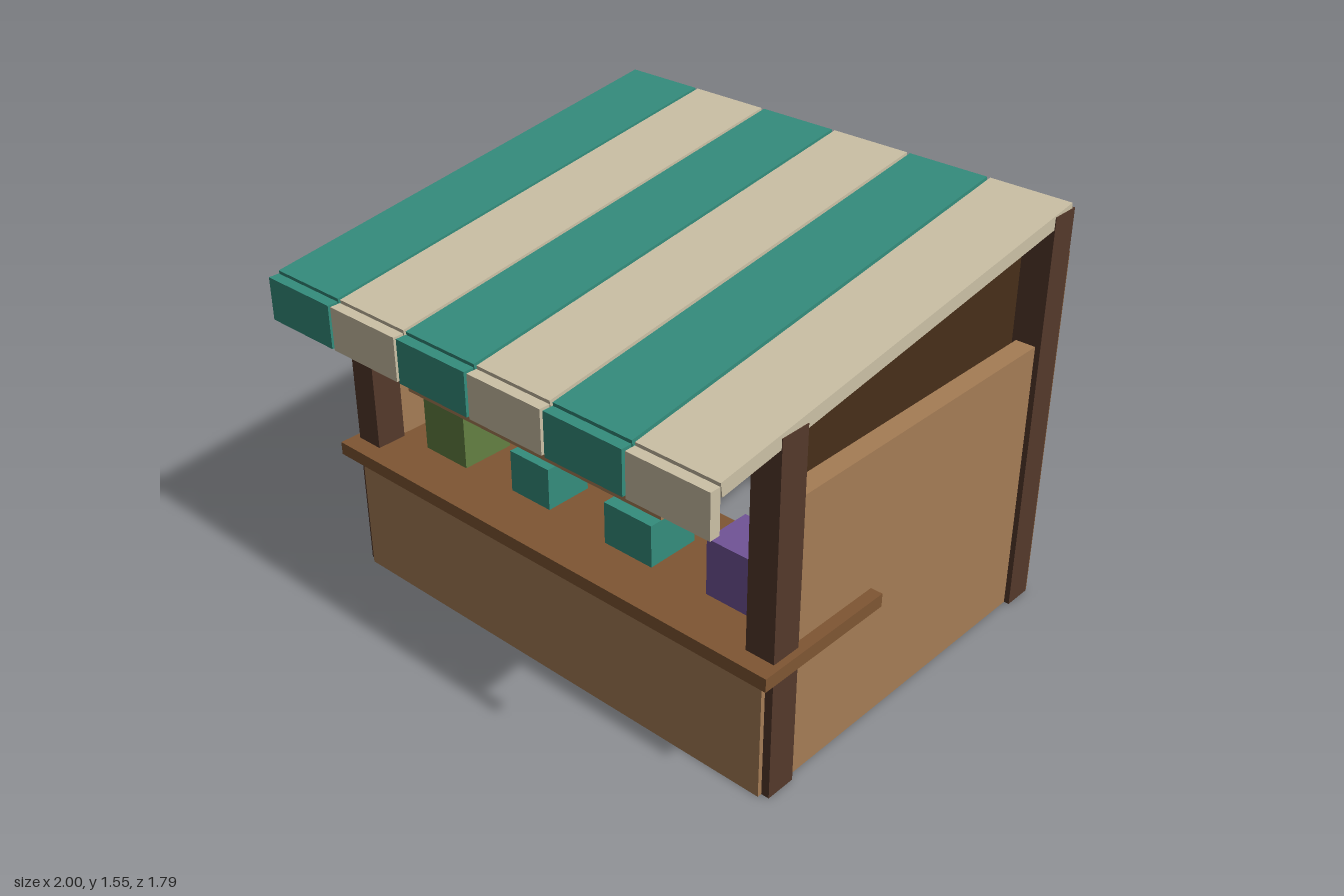
import * as THREE from 'three';

function mat(name, color) {
  const m = new THREE.MeshStandardMaterial({ color });
  m.name = name;
  return m;
}

export function createModel() {
  const stall = new THREE.Group();
  stall.name = 'marketStall';

  const darkWood = mat('darkWood', 0x54392b);
  const midWood = mat('midWood', 0x7f5633);
  const lightWood = mat('lightWood', 0xa57d55);
  const teal = mat('teal', 0x348d7d);
  const cream = mat('cream', 0xccc1a6);
  const green = mat('green', 0x638042);
  const purple = mat('purple', 0x715497);

  // Box given by its limits on each axis
  function box(name, material, [x0, x1], [y0, y1], [z0, z1], parent = stall) {
    const mesh = new THREE.Mesh(new THREE.BoxGeometry(x1 - x0, y1 - y0, z1 - z0), material);
    mesh.position.set((x0 + x1) / 2, (y0 + y1) / 2, (z0 + z1) / 2);
    mesh.name = name;
    parent.add(mesh);
    return mesh;
  }

  // Posts and side walls, mirrored
  for (const [side, s] of [['left', 1], ['right', -1]]) {
    const span = (a, b) => (s > 0 ? [a, b] : [-b, -a]);
    box(side + 'FrontPost', darkWood, span(0.865, 0.975), [0, 1.315], [0.483, 0.6]);
    box(side + 'BackPost', darkWood, span(0.865, 0.975), [0, 1.53], [-0.888, -0.775]);
    box(side + 'Wall', lightWood, span(0.88, 0.955), [0, 1.055], [-0.82, 0.54]);
  }
  box('backWall', midWood, [-0.972, 0.972], [0, 1.37], [-0.897, -0.82]);

  // Counter
  box('counterBody', lightWood, [-0.945, 0.945], [0, 0.48], [0.14, 0.617]);
  box('counterTop', midWood, [-1, 1], [0.478, 0.528], [0.09, 0.667]);

  // Hanging sign board with a raised bar
  box('signBoard', lightWood, [-0.58, 0.58], [0.9, 1.16], [0.625, 0.665]);
  box('signBar', lightWood, [-0.42, 0.42], [1.01, 1.05], [0.665, 0.7]);

  // Goods on the counter: centre x, width, height, material
  const goods = [
    [-0.635, 0.21, 0.24, green],
    [-0.213, 0.185, 0.16, teal],
    [0.26, 0.21, 0.16, teal],
    [0.682, 0.185, 0.212, purple],
  ];
  goods.forEach(([x, w, h, m], i) => {
    box('goodsBox' + (i + 1), m, [x - w / 2, x + w / 2], [0.528, 0.528 + h], [0.375 - w / 2, 0.375 + w / 2]);
  });

  // Striped sloping awning with a hanging valance
  const awning = new THREE.Group();
  awning.name = 'awning';
  stall.add(awning);
  for (let i = 0; i < 6; i++) {
    const x = -0.817 + i * 0.3265;
    const m = i % 2 ? cream : teal;
    const xs = [x - 0.157, x + 0.157];
    const strip = box('awningStripe' + (i + 1), m, xs, [1.371, 1.421], [-0.886, 0.862], awning);
    strip.rotation.x = Math.atan2(0.26, 1.73);
    box('valance' + (i + 1), m, xs, [1.123, 1.28], [0.857, 0.897], awning);
  }

  return stall;
}
